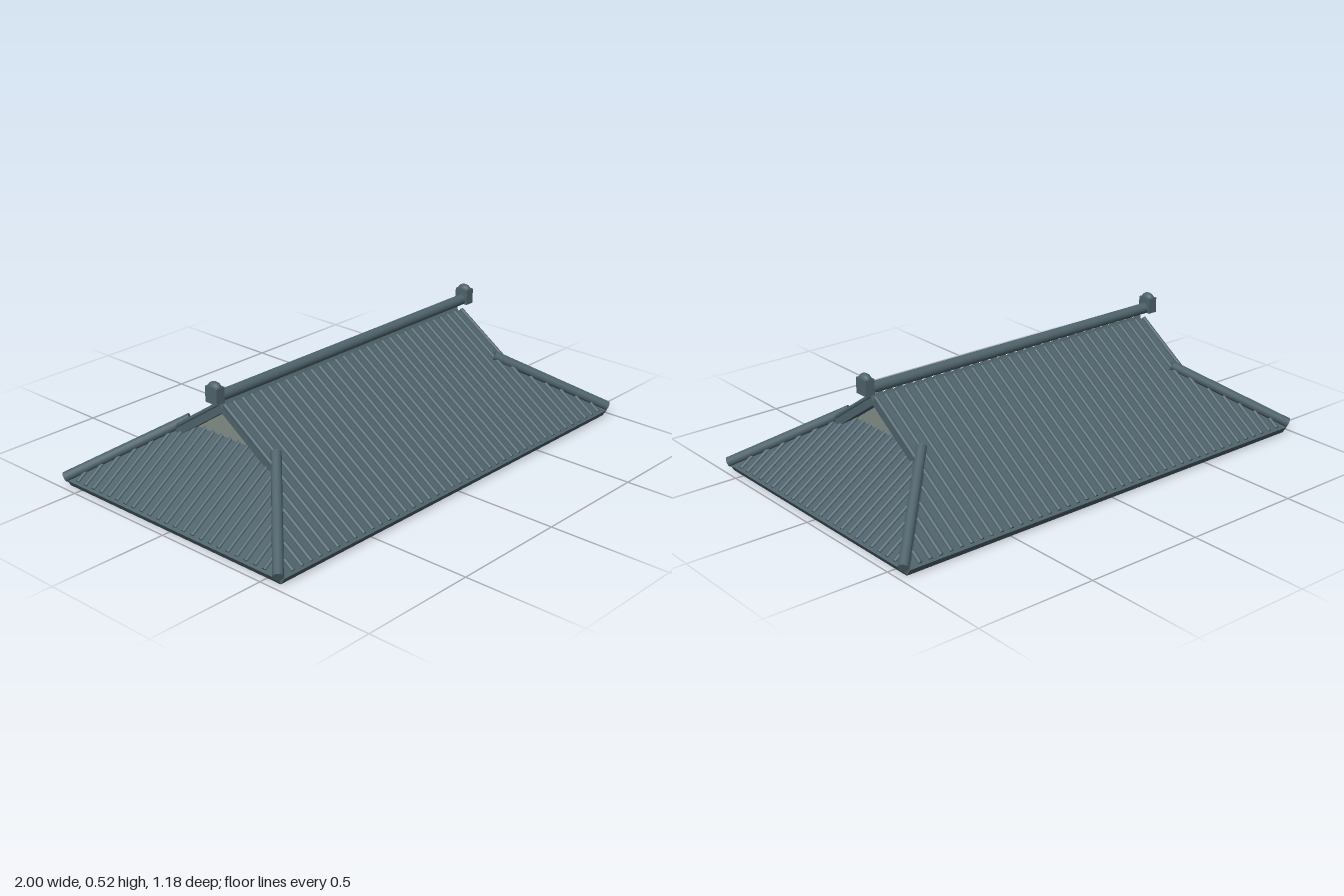
import * as THREE from 'three';

const HALF_X = 0.965, HALF_Z = 0.565; // eave half sizes at the underside
const SLOPE = Math.atan(0.675);
const COS = Math.cos(SLOPE);
const THICK = 0.035;
const GABLE_X = 0.69; // half length of the upper roof
const SKIRT = 0.345; // plan depth of the end skirts
const RIB_STEP = 0.0457;

export function createModel() {
  const tile = new THREE.MeshStandardMaterial({ color: 0x4f636c });
  tile.name = 'slate tile';
  const plaster = new THREE.MeshStandardMaterial({ color: 0x828d86 });
  plaster.name = 'grey plaster';
  const model = new THREE.Group();
  model.name = 'hipAndGableRoof';

  const add = (parent, name, geometry, material, x = 0, y = 0, z = 0) => {
    const mesh = new THREE.Mesh(geometry, material);
    mesh.name = name;
    mesh.position.set(x, y, z);
    parent.add(mesh);
    return mesh;
  };

  const rod = (name, a, b, radius) => {
    const dir = b.clone().sub(a);
    const mesh = add(model, name, new THREE.CylinderGeometry(radius, radius, dir.length(), 16), tile);
    mesh.position.copy(a).add(b).multiplyScalar(0.5);
    mesh.quaternion.setFromUnitVectors(new THREE.Vector3(0, 1, 0), dir.normalize());
  };

  // One sloping slab with its rows of round ribs: local x along the eave, y up the slope
  const slope = (name, turn, eaveDistance, outline, ribCount, ribShift, ribEnd) => {
    const pivot = new THREE.Group();
    pivot.name = name;
    pivot.rotation.y = turn;
    model.add(pivot);
    const panel = new THREE.Group();
    panel.name = name + 'Panel';
    panel.position.z = eaveDistance;
    panel.rotation.x = SLOPE - Math.PI / 2;
    pivot.add(panel);

    const right = outline.map(([u, d]) => new THREE.Vector2(u, d / COS));
    const left = right.map((p) => new THREE.Vector2(-p.x, p.y)).reverse();
    const shape = new THREE.Shape([...right, ...left]);
    add(panel, 'tileSlab', new THREE.ExtrudeGeometry(shape, { depth: THICK, bevelEnabled: false }), tile);

    for (let i = -ribCount; i <= ribCount; i++) {
      const u = i * RIB_STEP + ribShift;
      const start = 0.012, end = ribEnd(Math.abs(u)) / COS;
      if (end - start < 0.02) continue;
      add(panel, 'tileRib', new THREE.CylinderGeometry(0.0085, 0.0085, end - start, 10), tile,
        u, (start + end) / 2, THICK + 0.001);
    }
  };

  // Front and back slopes, running up to the ridge
  const ridgeRun = HALF_Z + 0.007;
  const mainOutline = [[HALF_X, 0], [GABLE_X, HALF_X - GABLE_X], [GABLE_X, ridgeRun]];
  const mainEnd = (u) => (u < GABLE_X ? ridgeRun : HALF_X - u);
  slope('frontSlope', 0, HALF_Z, mainOutline, 20, 0, mainEnd);
  slope('backSlope', Math.PI, HALF_Z, mainOutline, 20, 0, mainEnd);

  // End skirts below the gables
  const skirtOutline = [[HALF_Z, 0], [HALF_Z - SKIRT, SKIRT]];
  const skirtEnd = (u) => Math.min(SKIRT + 0.005, HALF_Z - u);
  slope('leftSkirt', Math.PI / 2, HALF_X, skirtOutline, 11, 0.006, skirtEnd);
  slope('rightSkirt', -Math.PI / 2, HALF_X, skirtOutline, 11, -0.006, skirtEnd);

  // Gable walls and hip ridges
  for (const sx of [1, -1]) {
    const wall = new THREE.Shape([
      new THREE.Vector2(-0.235, 0.23), new THREE.Vector2(0.235, 0.23), new THREE.Vector2(0, 0.389),
    ]);
    const gable = add(model, 'gableWall',
      new THREE.ExtrudeGeometry(wall, { depth: 0.009, bevelEnabled: false }), plaster, sx * 0.635);
    gable.rotation.y = sx * Math.PI / 2;
    for (const sz of [1, -1]) {
      rod('hipRidge', new THREE.Vector3(sx * 0.985, 0.04, sz * 0.573),
        new THREE.Vector3(sx * 0.64, 0.278, sz * 0.228), 0.02);
    }
  }

  // Flat ceiling closing the underside
  add(model, 'ceiling', new THREE.BoxGeometry(1.62, 0.008, 0.82), plaster, 0, 0.11, 0);

  // Top ridge with upright end caps
  rod('topRidge', new THREE.Vector3(-0.71, 0.452, 0), new THREE.Vector3(0.71, 0.452, 0), 0.022);
  for (const sx of [1, -1]) {
    add(model, 'ridgeEndBlock', new THREE.BoxGeometry(0.04, 0.063, 0.06), tile, sx * 0.72, 0.466, 0);
    const top = add(model, 'ridgeEndTop', new THREE.SphereGeometry(1, 20, 12), tile, sx * 0.72, 0.495, 0);
    top.scale.set(0.02, 0.021, 0.029);
  }
  return model;
}
